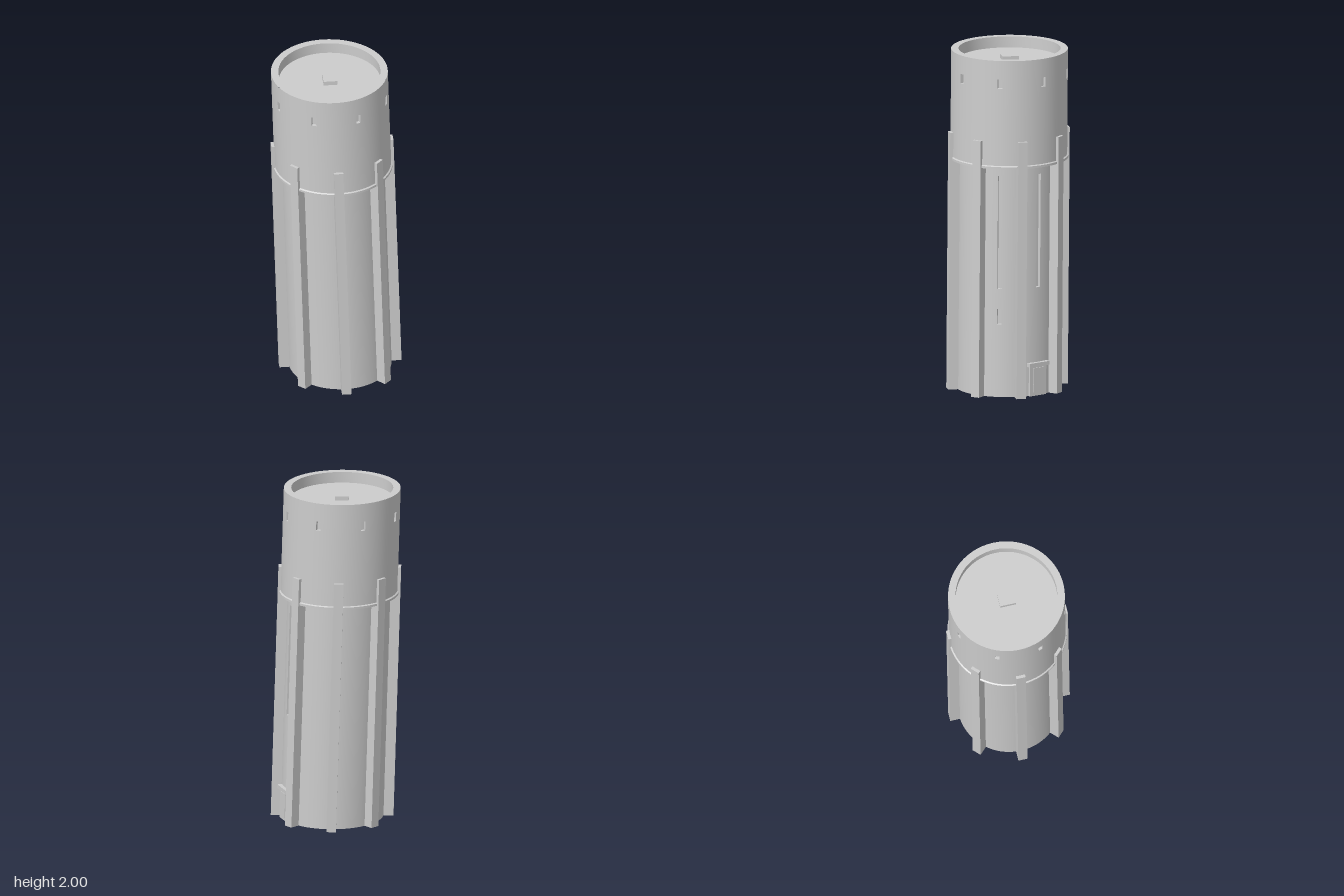
import * as THREE from 'three';
import { toCreasedNormals } from 'three/addons/utils/BufferGeometryUtils.js';

const SHAFT_R = 0.3, DRUM_R = 0.34, LIP_R = 0.348, FIN_R = 0.357;
const SEGMENTS = 64, RECESS = 0.02;
const RAD = Math.PI / 180;

// The whole tower leans: each level slides sideways with its height
const lean = new THREE.Matrix4().set(
  1, -0.0296, 0, 0.0225,
  0, 1, 0, 0,
  0, -0.0145, 1, 0.01,
  0, 0, 0, 1
);

// Cylindrical wall with rectangular recesses { angle, width, y0, y1 }
function recessedWall(radius, bottom, top, openings) {
  const spans = openings.map((o) => {
    const half = o.width / 2 / radius;
    return { a0: o.angle * RAD - half, a1: o.angle * RAD + half, y0: o.y0, y1: o.y1 };
  });
  const sorted = (list) => [...new Set(list)].sort((a, b) => a - b);
  const angles = sorted([
    ...Array.from({ length: SEGMENTS + 1 }, (_, i) => (i / SEGMENTS) * Math.PI * 2),
    ...spans.flatMap((s) => [s.a0, s.a1]),
  ]);
  const levels = sorted([bottom, top, ...spans.flatMap((s) => [s.y0, s.y1])]);
  const cellRadius = (i, j) => {
    const a = (angles[i] + angles[i + 1]) / 2, y = (levels[j] + levels[j + 1]) / 2;
    return spans.some((s) => a > s.a0 && a < s.a1 && y > s.y0 && y < s.y1) ? radius - RECESS : radius;
  };

  const positions = [], normals = [];
  const point = (r, a, y) => new THREE.Vector3(r * Math.sin(a), y, r * Math.cos(a));
  const quad = (corners, round) => {
    const [p, q, , s] = corners;
    const flat = q.clone().sub(p).cross(s.clone().sub(p)).normalize();
    for (const k of [0, 1, 2, 0, 2, 3]) {
      const c = corners[k];
      const n = round ? new THREE.Vector3(c.x, 0, c.z).normalize() : flat;
      positions.push(c.x, c.y, c.z);
      normals.push(n.x, n.y, n.z);
    }
  };

  for (let i = 0; i < angles.length - 1; i++) {
    for (let j = 0; j < levels.length - 1; j++) {
      const a0 = angles[i], a1 = angles[i + 1], y0 = levels[j], y1 = levels[j + 1];
      const r = cellRadius(i, j);
      quad([point(r, a0, y0), point(r, a1, y0), point(r, a1, y1), point(r, a0, y1)], true);
      // Side reveals
      if (i < angles.length - 2) {
        const n = cellRadius(i + 1, j);
        if (n !== r) quad([point(n, a1, y0), point(n, a1, y1), point(r, a1, y1), point(r, a1, y0)], false);
      }
      // Sills and heads
      if (j < levels.length - 2) {
        const n = cellRadius(i, j + 1);
        if (n !== r) quad([point(n, a0, y1), point(r, a0, y1), point(r, a1, y1), point(n, a1, y1)], false);
      }
    }
  }
  const geometry = new THREE.BufferGeometry();
  geometry.setAttribute('position', new THREE.Float32BufferAttribute(positions, 3));
  geometry.setAttribute('normal', new THREE.Float32BufferAttribute(normals, 3));
  return geometry;
}

// Turned profile with sharp edges
function turned(profile) {
  const points = profile.map(([r, y]) => new THREE.Vector2(r, y));
  return toCreasedNormals(new THREE.LatheGeometry(points, SEGMENTS), 0.5);
}

// Box standing radially at an angle around the tower
function radialBox(width, y0, y1, r0, r1, angle) {
  return new THREE.BoxGeometry(width, y1 - y0, r1 - r0)
    .translate(0, (y0 + y1) / 2, (r0 + r1) / 2)
    .rotateY(angle * RAD);
}

export function createModel() {
  const model = new THREE.Group();
  model.name = 'leaningTower';
  const stone = new THREE.MeshStandardMaterial({ color: 0xcccccc });
  stone.name = 'pale grey stone';

  const add = (name, geometry) => {
    const mesh = new THREE.Mesh(geometry.applyMatrix4(lean), stone);
    mesh.name = name;
    model.add(mesh);
  };

  // Shaft with two tall slits and a small window
  add('shaft', recessedWall(SHAFT_R, 0, 1.36, [
    { angle: 67.5, width: 0.028, y0: 0.64, y1: 1.31 },
    { angle: 112.5, width: 0.028, y0: 0.64, y1: 1.31 },
    { angle: 67.5, width: 0.028, y0: 0.43, y1: 0.52 },
  ]));
  add('base', turned([[0, 0], [SHAFT_R, 0]]));

  // Upper drum with a ring of eight small windows
  const windows = Array.from({ length: 8 }, (_, i) => (
    { angle: 22.5 + i * 45, width: 0.028, y0: 1.835, y1: 1.89 }
  ));
  add('upperDrum', recessedWall(DRUM_R, 1.37, 2, windows));
  add('drumLip', turned([[SHAFT_R - 0.01, 1.36], [LIP_R, 1.36], [LIP_R, 1.373], [DRUM_R, 1.378]]));
  add('parapetAndRoof', turned([[DRUM_R, 2], [0.297, 2], [0.297, 1.935], [0, 1.935]]));
  add('roofHatch', new THREE.BoxGeometry(0.08, 0.025, 0.095).translate(0, 1.9475, 0));

  // Eight buttresses
  for (let i = 0; i < 8; i++) {
    add('buttress', radialBox(0.055, 0, 1.52, 0.28, FIN_R, i * 45));
  }

  // Doorway between two buttresses
  const doorAngle = 112.5;
  add('doorSurround', radialBox(0.115, 0, 0.18, 0.27, 0.308, doorAngle));
  add('doorHood', radialBox(0.14, 0.175, 0.197, 0.27, 0.322, doorAngle));
  add('door', radialBox(0.07, 0.02, 0.165, 0.307, 0.313, doorAngle));

  return model;
}
